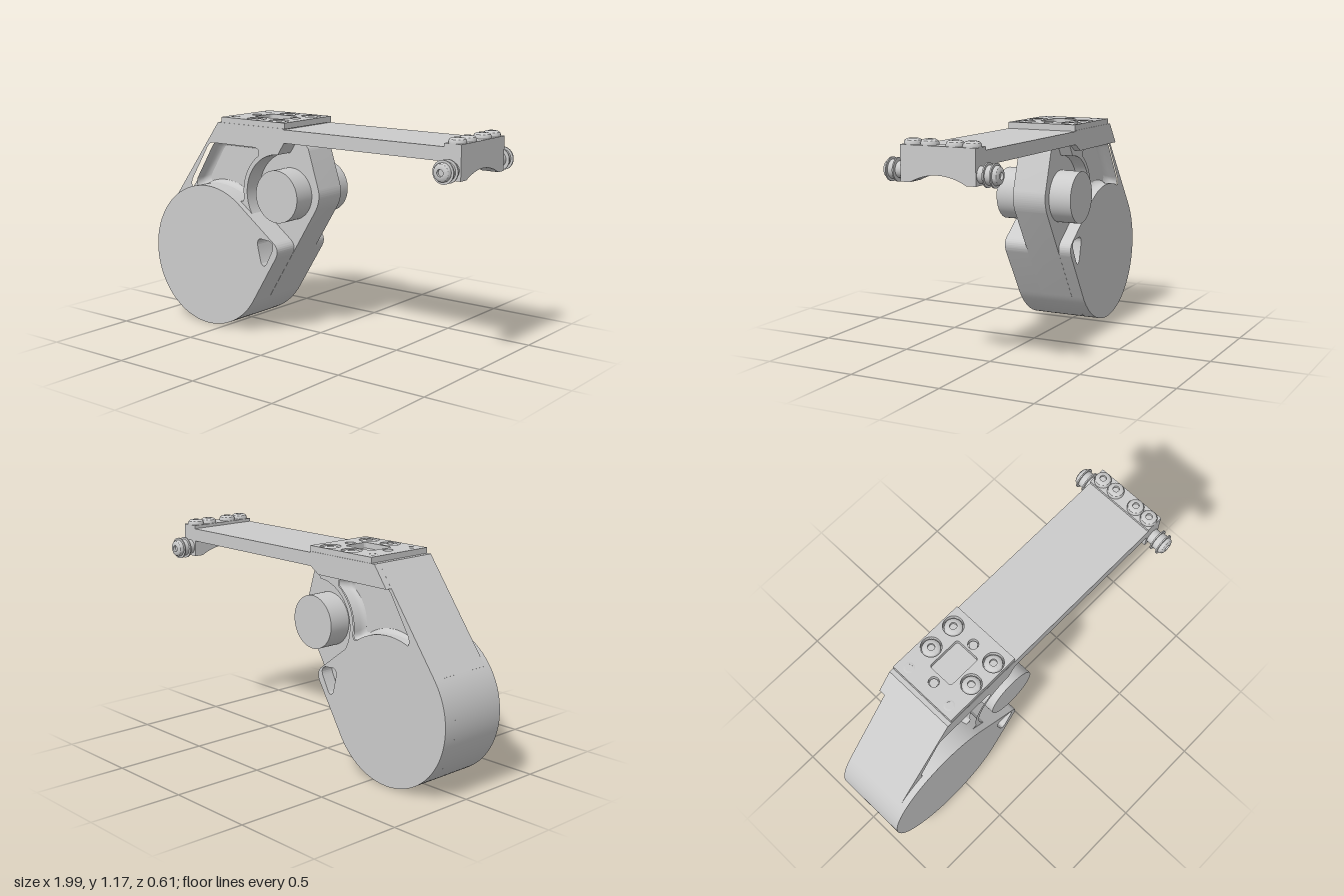
import * as THREE from 'three';
import { toCreasedNormals } from 'three/addons/utils/BufferGeometryUtils.js';

const DRUM = { x: -0.61, y: 0.39, r: 0.39 };
const PIVOT = { x: -0.125, y: 0.77 };

export function createModel() {
  const root = new THREE.Group();
  const grey = new THREE.MeshStandardMaterial({ color: 0xcccccc });
  const thin = new THREE.MeshStandardMaterial({ color: 0xcccccc, side: THREE.DoubleSide });

  function add(name, geometry, x = 0, y = 0, z = 0, parent = root, material = grey) {
    const mesh = new THREE.Mesh(geometry, material);
    mesh.name = name;
    mesh.position.set(x, y, z);
    parent.add(mesh);
    return mesh;
  }
  const crease = (g) => toCreasedNormals(g, 0.5);
  function slab(shape, z0, z1) {
    const g = new THREE.ExtrudeGeometry(shape, { depth: z1 - z0, bevelEnabled: false, curveSegments: 40 });
    g.translate(0, 0, z0);
    return crease(g);
  }
  const poly = (pts) => pts.map(([x, y]) => new THREE.Vector2(x, y));
  function arc(cx, cy, r, a0, a1, n) {
    return Array.from({ length: n + 1 }, (_, i) => {
      const a = a0 + ((a1 - a0) * i) / n;
      return new THREE.Vector2(cx + r * Math.cos(a), cy + r * Math.sin(a));
    });
  }

  // Angles at which the straight flanks touch the drum
  const leftTouch = Math.atan2(0.594, -0.804);
  const rightTouch = Math.atan2(-0.53, 0.85);
  const topTouch = Math.atan2(0.79, 0.61);

  // Central web following the whole silhouette
  const web = new THREE.Shape();
  web.moveTo(-0.549, 1.13);
  web.lineTo(-0.09, 1.13);
  web.lineTo(-0.09, 1.055);
  web.lineTo(-0.03, 1.038);
  web.quadraticCurveTo(-0.012, 1.032, -0.005, 1.01);
  web.lineTo(0.058, 0.81);
  web.quadraticCurveTo(0.072, 0.755, 0.04, 0.697);
  web.lineTo(-0.278, 0.183);
  web.absarc(DRUM.x, DRUM.y, DRUM.r, rightTouch, leftTouch - Math.PI * 2, true);
  web.closePath();
  add('centralWeb', slab(web, -0.095, 0.095));

  // Drum housing with the side boss and its rounded triangular recess
  const drum = new THREE.Shape();
  drum.absarc(DRUM.x, DRUM.y, DRUM.r, topTouch, rightTouch + Math.PI * 2, false);
  drum.lineTo(-0.12, 0.44);
  drum.quadraticCurveTo(-0.09, 0.492, -0.135, 0.523);
  drum.closePath();
  const recess = new THREE.Path();
  recess.moveTo(-0.225, 0.535);
  recess.lineTo(-0.165, 0.53);
  recess.quadraticCurveTo(-0.125, 0.52, -0.145, 0.475);
  recess.lineTo(-0.185, 0.4);
  recess.quadraticCurveTo(-0.205, 0.375, -0.222, 0.405);
  recess.lineTo(-0.243, 0.49);
  recess.quadraticCurveTo(-0.252, 0.525, -0.225, 0.535);
  drum.holes.push(recess);
  add('drumHousing', slab(drum, -0.165, 0.235));

  // Side frame with the large pocket above the drum
  const frame = new THREE.Shape([
    ...poly([[-0.924, 0.622], [-0.549, 1.13], [-0.09, 1.13], [-0.09, 1.05]]),
    ...arc(PIVOT.x, PIVOT.y, 0.22, 1.59, 3.75, 30),
    ...poly([[-0.45, 0.5], [-0.85, 0.55]]),
  ]);
  const pocket = [
    ...poly([[-0.755, 0.775], [-0.748, 0.8], [-0.63, 0.99], [-0.615, 1.008], [-0.595, 1.015],
      [-0.285, 1.015], [-0.266, 1.006], [-0.26, 0.99]]),
    ...arc(PIVOT.x, PIVOT.y, 0.245, 2.18, 3.3, 14),
    ...poly([[-0.375, 0.715], [-0.4, 0.715]]),
    ...arc(DRUM.x, DRUM.y, 0.385, 1.0, 1.93, 16),
  ];
  frame.holes.push(new THREE.Path(pocket));
  add('sideFrame', slab(frame, -0.165, 0.2));

  // Concave fillets running round the pocket floor, both sides
  const cx = -0.5, cy = 0.89, n = pocket.length;
  const steps = [[1.0, 0.16], [0.95, 0.122], [0.89, 0.103], [0.8, 0.096]];
  for (const side of [1, -1]) {
    const pos = [], idx = [];
    for (const [k, z] of steps)
      for (const p of pocket) pos.push(cx + (p.x - cx) * k, cy + (p.y - cy) * k, z * side);
    for (let s = 0; s < steps.length - 1; s++)
      for (let i = 0; i < n; i++) {
        const a = s * n + i, b = s * n + ((i + 1) % n);
        if (side > 0) idx.push(a, b, b + n, a, b + n, a + n);
        else idx.push(a, b + n, b, a, a + n, b + n);
      }
    const g = new THREE.BufferGeometry();
    g.setAttribute('position', new THREE.Float32BufferAttribute(pos, 3));
    g.setIndex(idx);
    g.computeVertexNormals();
    add('pocketFillet', g, 0, 0, 0, root, thin);
  }

  // Wider head of the frame, carrying the arm
  add('frameHead', slab(new THREE.Shape(poly([
    [-0.631, 1.018], [-0.549, 1.13], [-0.09, 1.13], [-0.09, 1.055], [-0.15, 1.018],
  ])), -0.2, 0.2));

  // Pivot cylinder
  add('pivotCylinder', new THREE.CylinderGeometry(0.14, 0.14, 0.438, 64), PIVOT.x, PIVOT.y, 0).rotation.x = Math.PI / 2;

  // Flat arm
  add('arm', new THREE.BoxGeometry(1.03, 0.07, 0.4), 0.395, 1.09, 0);

  // Button-head screw, standing on y = 0
  function screwHead(r, h) {
    return crease(new THREE.LatheGeometry(poly([
      [0, 0], [r, 0], [r, h * 0.4], [r * 0.9, h * 0.72], [r * 0.7, h * 0.93], [r * 0.5, h],
      [r * 0.38, h], [r * 0.38, h * 0.5], [0, h * 0.5],
    ]), 32));
  }

  // Clamp plate with window, countersunk screws and dowel pins
  const plate = new THREE.Shape(poly([[-0.525, -0.197], [-0.085, -0.197], [-0.085, 0.197], [-0.525, 0.197]]));
  const win = new THREE.Path();
  const [wx, wz, wr] = [0.095, 0.072, 0.015];
  [[1, 1, 0], [-1, 1, 1], [-1, -1, 2], [1, -1, 3]].forEach(([sx, sz, q]) =>
    win.absarc(-0.305 + sx * (wx - wr), sz * (wz - wr), wr, (q * Math.PI) / 2, ((q + 1) * Math.PI) / 2, false));
  plate.holes.push(win);
  const hole = (x, z, r) => plate.holes.push(new THREE.Path().absarc(x, z, r, 0, Math.PI * 2, true));
  for (const x of [-0.475, -0.325, -0.172])
    for (const z of [-0.137, 0.137]) {
      hole(x, z, 0.053);
      add('plateScrew', screwHead(0.048, 0.034), x, 1.127, z);
    }
  for (const x of [-0.443, -0.172]) {
    hole(x, 0, 0.027);
    add('dowelPin', new THREE.CylinderGeometry(0.022, 0.022, 0.02, 24), x, 1.135, 0);
  }
  const plateGeo = slab(plate, 0, 0.032);
  plateGeo.rotateX(-Math.PI / 2);
  add('clampPlate', plateGeo, 0, 1.128, 0);

  // Arched end block, profile drawn across z and swept along x
  const end = new THREE.Group();
  end.name = 'endFixture';
  end.position.x = 0.937;
  root.add(end);
  const block = new THREE.Shape();
  block.moveTo(-0.2, 1.142);
  block.lineTo(-0.2, 0.968);
  block.lineTo(-0.15, 0.968);
  block.quadraticCurveTo(0, 1.046, 0.15, 0.968);
  block.lineTo(0.2, 0.968);
  block.lineTo(0.2, 1.142);
  block.closePath();
  const blockGeo = slab(block, -0.048, 0.048);
  blockGeo.rotateY(Math.PI / 2);
  add('endBlock', blockGeo, 0, 0, 0, end);
  for (const z of [-0.157, -0.068, 0.068, 0.157]) add('topScrew', screwHead(0.044, 0.028), 0, 1.141, z, end);

  // Side studs: boss, spool between two washers, and screw head
  for (const side of [1, -1]) {
    const stud = new THREE.Group();
    stud.name = 'sideStud';
    stud.position.set(0, 1.018, 0);
    stud.rotation.x = (side * Math.PI) / 2;
    end.add(stud);
    const ring = (name, r, a, b) =>
      add(name, new THREE.CylinderGeometry(r, r, b - a, 40), 0, (a + b) / 2, 0, stud);
    ring('boss', 0.04, 0.19, 0.236);
    ring('innerWasher', 0.058, 0.235, 0.242);
    ring('spool', 0.046, 0.24, 0.274);
    ring('outerWasher', 0.058, 0.273, 0.28);
    add('studHead', screwHead(0.046, 0.027), 0, 0.279, 0, stud);
  }
  return root;
}
